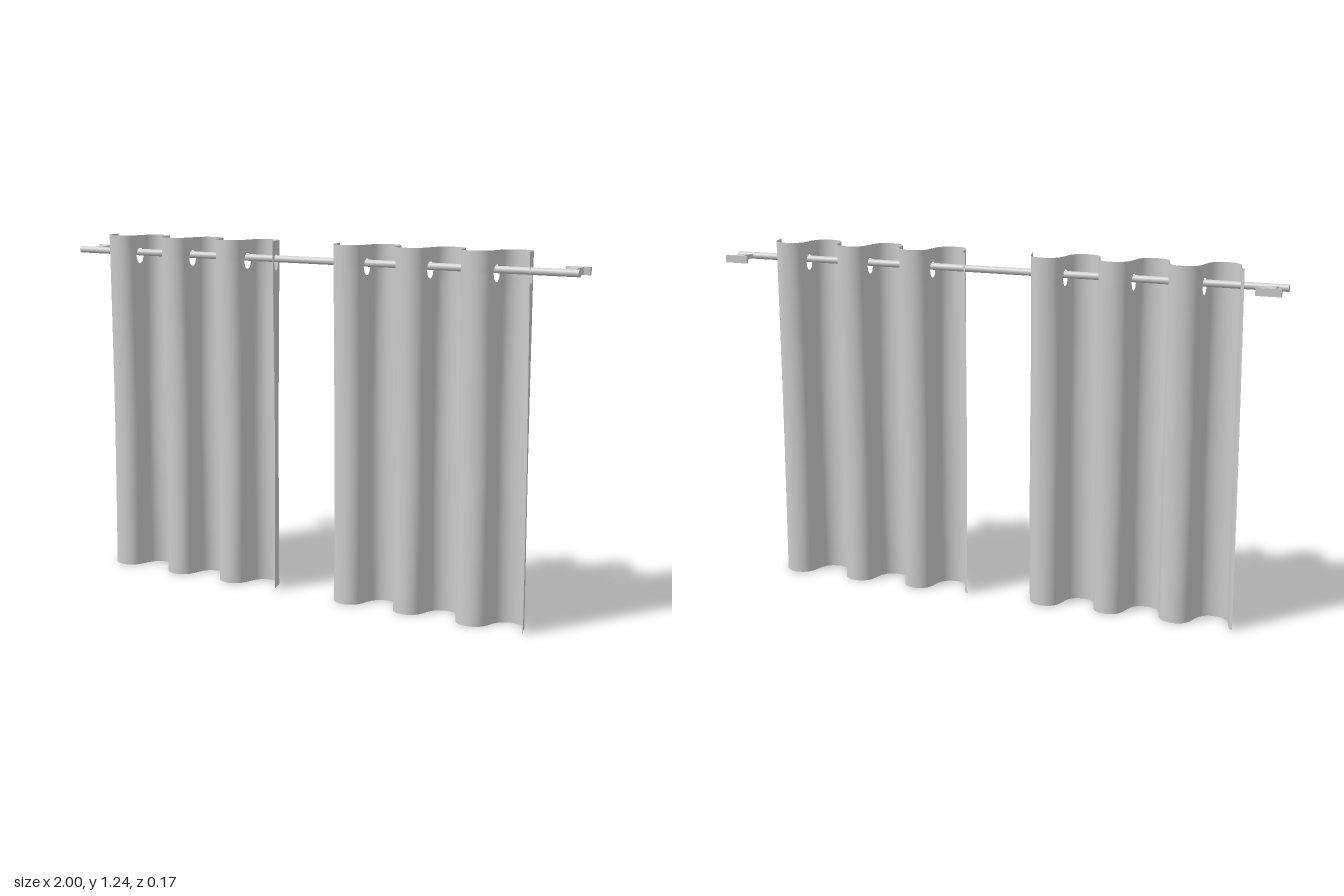
import * as THREE from 'three';

const ROD_Y = 1.175, ROD_Z = 0.015;
const TOP = 1.237, HOLE_Y = 1.163, HOLE_H = 0.028;
const COLS = 44;      // columns per half fold
const HOLE_COLS = 4;  // half width of an eyelet, in columns
const FOLD = 0.1195;  // width of a half fold
const FOLDS = 6;

// Position on the pleated cloth: column k along the fold, height y
function clothPoint(x0, k, y) {
  const a = (k * Math.PI) / COLS, t = y / TOP;
  const amp = 0.051 + 0.012 * Math.pow(Math.max(0, (t - 0.4) / 0.6), 1.5)
    + 0.007 * Math.pow(Math.max(0, (0.5 - t) / 0.5), 1.5);
  const steep = 0.012 + 0.003 * t;
  const sway = 0.004 * (1 - t) * Math.sin(a * 0.37 + x0 * 9);
  return [
    x0 + (a / Math.PI) * FOLD - steep * Math.sin(2 * a) + sway,
    y,
    0.018 + amp * Math.sin(a) + sway * 0.7,
  ];
}

// Half height of the eyelet opening at column k (0 outside the eyelets)
function holeHalf(k) {
  const d = (k - Math.round(k / COLS) * COLS) / HOLE_COLS;
  return Math.abs(d) < 1 ? HOLE_H * Math.sqrt(1 - d * d) : 0;
}

// Cloth in two bands, below and above the row of eyelets
function curtainGeometry(x0) {
  const pos = [], index = [];
  const k0 = -13, k1 = FOLDS * COLS + 11;
  const band = (rows, yLow, yHigh) => {
    const base = pos.length / 3, w = rows + 1;
    for (let k = k0; k <= k1; k++) {
      for (let r = 0; r <= rows; r++) {
        pos.push(...clothPoint(x0, k, THREE.MathUtils.lerp(yLow(k), yHigh(k), r / rows)));
        if (k < k1 && r < rows) {
          const a = base + (k - k0) * w + r;
          index.push(a, a + w, a + w + 1, a, a + w + 1, a + 1);
        }
      }
    }
  };
  band(22, () => 0, k => HOLE_Y - holeHalf(k));
  band(4, k => HOLE_Y + holeHalf(k), () => TOP);
  const g = new THREE.BufferGeometry();
  g.setAttribute('position', new THREE.Float32BufferAttribute(pos, 3));
  g.setIndex(index);
  g.computeVertexNormals();
  return g;
}

// Bracket: plan outline extruded, then thinned towards the rod
function bracketGeometry() {
  const half = [[0.016, -0.015], [0.016, 0.066], [0.022, 0.074], [0.042, 0.08], [0.042, 0.09]];
  const pts = [...half, ...half.map(([x, y]) => [-x, y]).reverse()];
  const shape = new THREE.Shape(pts.map(([x, y]) => new THREE.Vector2(x, y)));
  const g = new THREE.ExtrudeGeometry(shape, { depth: 2, bevelEnabled: false });
  g.translate(0, 0, -1);
  g.rotateX(-Math.PI / 2);
  const p = g.attributes.position;
  for (let i = 0; i < p.count; i++) {
    const s = THREE.MathUtils.clamp(-p.getZ(i) / 0.08, 0, 1);
    p.setY(i, p.getY(i) * (0.005 + 0.008 * s));
  }
  g.computeVertexNormals();
  return g;
}

export function createModel() {
  const model = new THREE.Group();
  const metal = new THREE.MeshStandardMaterial({ color: 0xcccccc });
  const cloth = new THREE.MeshStandardMaterial({ color: 0xcccccc, side: THREE.DoubleSide });
  const add = (name, geometry, material, x, y, z) => {
    const mesh = new THREE.Mesh(geometry, material);
    mesh.name = name;
    mesh.position.set(x, y, z);
    model.add(mesh);
  };

  // Rod across the full width
  const rod = new THREE.CylinderGeometry(0.012, 0.012, 2, 24);
  rod.rotateZ(Math.PI / 2);
  add('rod', rod, metal, 0, ROD_Y, ROD_Z);

  // Wall brackets near the rod ends
  const bracket = bracketGeometry();
  add('leftBracket', bracket, metal, 0.953, ROD_Y, 0);
  add('rightBracket', bracket, metal, -0.953, ROD_Y, 0);

  // Pair of pleated curtains threaded on the rod
  add('leftCurtain', curtainGeometry(0.12), cloth, 0, 0, 0);
  add('rightCurtain', curtainGeometry(-0.842), cloth, 0, 0, 0);
  return model;
}
